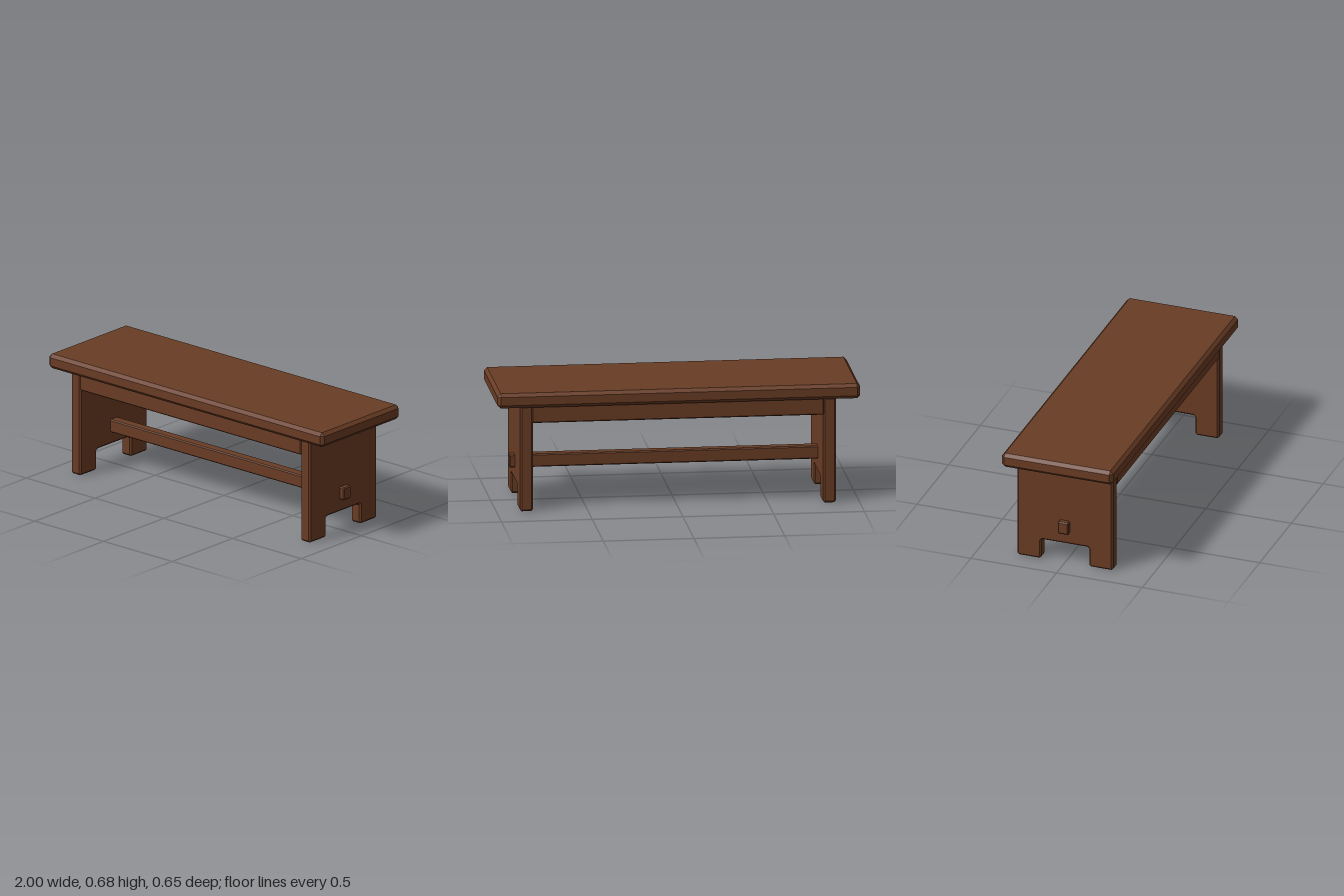
import * as THREE from 'three';
import { ConvexGeometry } from 'three/addons/geometries/ConvexGeometry.js';

// Box with every edge cut by a flat chamfer c
function chamferBox(w, h, d, c) {
  const half = [w / 2, h / 2, d / 2];
  const points = [];
  for (const sx of [-1, 1]) for (const sy of [-1, 1]) for (const sz of [-1, 1])
    for (let full = 0; full < 3; full++) {
      const p = half.map((v, i) => (i === full ? v : v - c));
      points.push(new THREE.Vector3(p[0] * sx, p[1] * sy, p[2] * sz));
    }
  return new ConvexGeometry(points);
}

// End board with two feet, chamfered all round, extruded along x
function endBoard(thickness, c) {
  const half = [
    [0.13, 0.118], [0.14, 0.108], [0.14, 0.01], [0.15, 0],
    [0.27, 0], [0.28, 0.01], [0.28, 0.585], [0.27, 0.595],
  ];
  const outline = [...half, ...half.map(([z, y]) => [-z, y]).reverse()];
  const shape = new THREE.Shape(outline.map(([z, y]) => new THREE.Vector2(z, y)));
  const geometry = new THREE.ExtrudeGeometry(shape, {
    depth: thickness - 2 * c, bevelEnabled: true, bevelSegments: 1,
    bevelThickness: c, bevelSize: c, bevelOffset: -c,
  });
  geometry.translate(0, 0, c - thickness / 2);
  return geometry.rotateY(Math.PI / 2);
}

export function createModel() {
  const bench = new THREE.Group();
  bench.name = 'bench';
  const wood = new THREE.MeshStandardMaterial({ color: 0x693c24 });
  wood.name = 'brown wood';

  const add = (name, geometry, x, y, z) => {
    const mesh = new THREE.Mesh(geometry, wood);
    mesh.name = name;
    mesh.position.set(x, y, z);
    bench.add(mesh);
  };

  // Seat plank
  add('seat', chamferBox(2, 0.083, 0.65, 0.018), 0, 0.6335, 0);

  // End boards
  const board = endBoard(0.07, 0.009);
  add('leftEndBoard', board, 0.835, 0, 0);
  add('rightEndBoard', board, -0.835, 0, 0);

  // Aprons under the seat
  const apron = chamferBox(1.61, 0.1, 0.056, 0.006);
  add('frontApron', apron, 0, 0.547, 0.253);
  add('backApron', apron, 0, 0.547, -0.253);

  // Stretcher passing through both end boards
  add('stretcher', chamferBox(1.8, 0.073, 0.062, 0.006), 0, 0.2245, 0);

  return bench;
}
